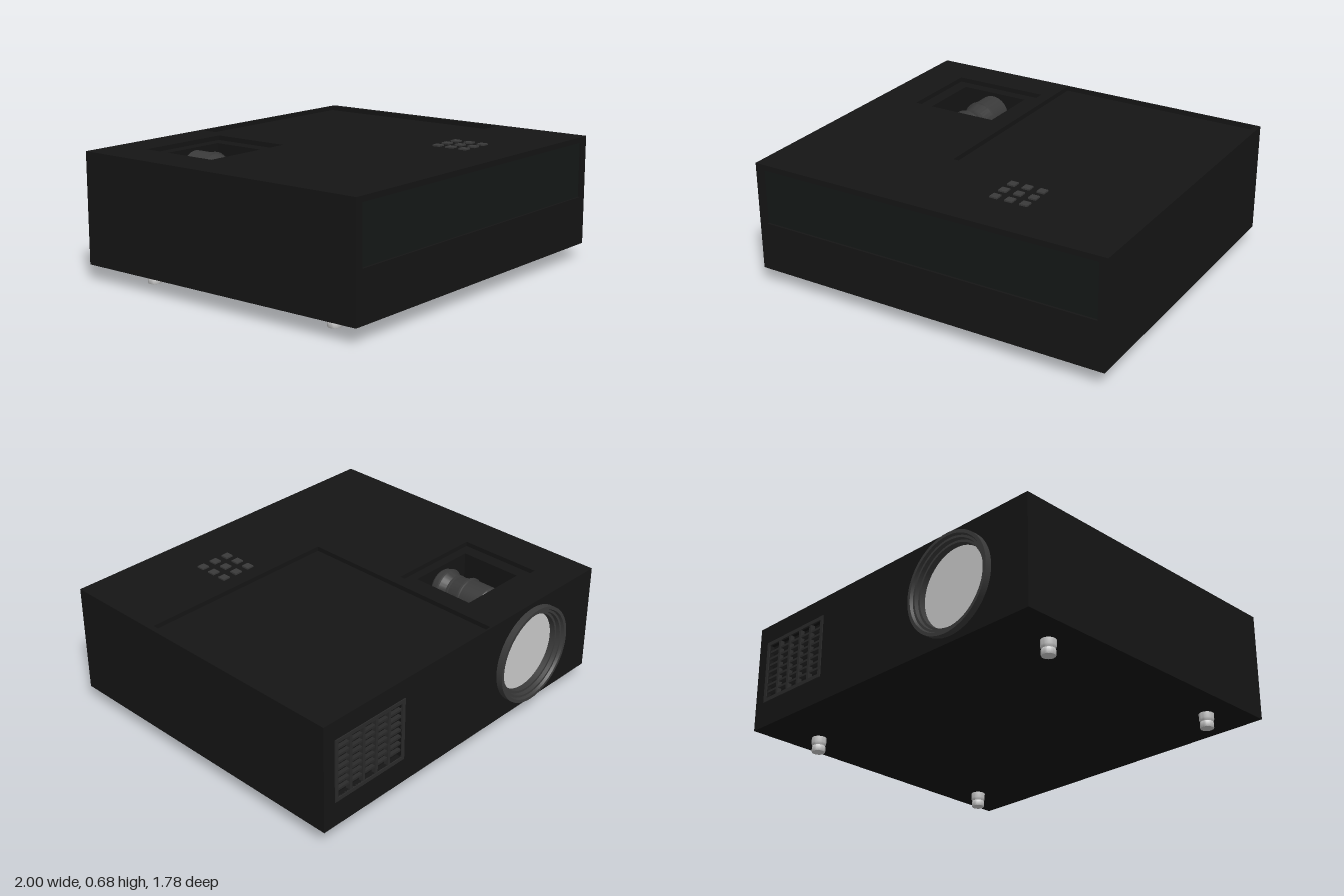
import * as THREE from 'three';
import { toCreasedNormals } from 'three/addons/utils/BufferGeometryUtils.js';

const mat = (color) => new THREE.MeshStandardMaterial({ color });
const BLACK = mat(0x151515), PANEL = mat(0x141817), DARK = mat(0x2a2a2a), TRIM = mat(0x3a3a3a), GREY = mat(0xcccccc);

function add(parent, name, geometry, material, x = 0, y = 0, z = 0) {
  const mesh = new THREE.Mesh(geometry, material);
  mesh.name = name;
  mesh.position.set(x, y, z);
  parent.add(mesh);
  return mesh;
}

// Box given by its minimum and maximum corners
function block(parent, name, material, [x0, y0, z0], [x1, y1, z1]) {
  return add(parent, name, new THREE.BoxGeometry(x1 - x0, y1 - y0, z1 - z0), material,
    (x0 + x1) / 2, (y0 + y1) / 2, (z0 + z1) / 2);
}

function rect(PathType, x0, y0, x1, y1) {
  const p = new PathType();
  p.moveTo(x0, y0);
  p.lineTo(x1, y0);
  p.lineTo(x1, y1);
  p.lineTo(x0, y1);
  p.closePath();
  return p;
}

// Plate with holes, outlined in x and y, thickness along z
function plate(outline, holes, depth) {
  const shape = rect(THREE.Shape, ...outline);
  shape.holes.push(...holes);
  return new THREE.ExtrudeGeometry(shape, { depth, bevelEnabled: false, curveSegments: 32 });
}
const hole = (...r) => rect(THREE.Path, ...r);

function turned(points, segments = 64) {
  const geometry = new THREE.LatheGeometry(points.map(([r, y]) => new THREE.Vector2(r, y)), segments);
  return toCreasedNormals(geometry, 0.5);
}

export function createModel() {
  const model = new THREE.Group();
  model.name = 'projector';

  // Case: top plate with sunken cover and lens window, walls and base
  const body = new THREE.Group();
  body.name = 'case';
  model.add(body);
  const top = plate([-1, -0.89, 1, 0.86],
    [hole(-0.17, -0.34, 0.97, 0.85), hole(-0.77, 0.2, -0.235, 0.66)], 0.025);
  add(body, 'topPlate', top.rotateX(-Math.PI / 2), BLACK, 0, 0.65, 0);
  block(body, 'sunkenCover', BLACK, [-0.18, 0.62, -0.855], [0.98, 0.65, 0.35]);
  block(body, 'base', BLACK, [-1, 0.08, -0.83], [1, 0.11, 0.86]);
  for (const s of [-1, 1]) {
    add(body, s > 0 ? 'leftWall' : 'rightWall', new THREE.BoxGeometry(0.03, 0.54, 1.69), BLACK, s * 0.985, 0.38, 0.015);
  }
  add(body, 'frontWall', plate([-1, 0.08, 1, 0.65], [hole(-0.955, 0.345, 0.955, 0.645)], 0.03), BLACK, 0, 0, 0.86);
  block(body, 'frontPanel', PANEL, [-0.96, 0.34, 0.845], [0.96, 0.648, 0.878]);
  const lensHole = new THREE.Path();
  lensHole.absarc(-0.5, 0.38, 0.25, 0, Math.PI * 2, true);
  add(body, 'backWall', plate([-1, 0.08, 1, 0.65], [lensHole, hole(0.48, 0.24, 0.91, 0.55)], 0.03), BLACK, 0, 0, -0.86);

  // Stepped window in the top with the lens barrel inside
  const lensWindow = new THREE.Group();
  lensWindow.name = 'lensWindow';
  model.add(lensWindow);
  const well = plate([-0.78, 0.19, -0.225, 0.67], [hole(-0.7, 0.25, -0.31, 0.6)], 0.2);
  add(lensWindow, 'windowStep', well.rotateX(-Math.PI / 2), BLACK, 0, 0.45, 0);
  block(lensWindow, 'windowFloor', BLACK, [-0.72, 0.42, -0.62], [-0.29, 0.452, -0.23]);
  const barrel = turned([
    [0, 0.26], [0.085, 0.26], [0.092, 0.27], [0.094, 0.295], [0.101, 0.298], [0.101, 0.306], [0.094, 0.31],
    [0.078, 0.35], [0.086, 0.353], [0.086, 0.363], [0.08, 0.366], [0.094, 0.435], [0.102, 0.438], [0.102, 0.448],
    [0.096, 0.452], [0.096, 0.575], [0.085, 0.59], [0, 0.597],
  ]);
  add(lensWindow, 'lensBarrel', barrel.rotateX(-Math.PI / 2), TRIM, -0.5, 0.545, 0);

  // Projection lens on the back
  const lens = new THREE.Group();
  lens.name = 'projectionLens';
  lens.position.set(-0.5, 0.38, 0);
  model.add(lens);
  const ring = turned([
    [0.25, 0.82], [0.25, 0.858], [0.267, 0.858], [0.267, 0.895], [0.25, 0.895], [0.244, 0.88],
    [0.232, 0.88], [0.228, 0.86], [0.216, 0.86], [0.212, 0.82], [0.25, 0.82],
  ]);
  add(lens, 'lensRing', ring.rotateX(-Math.PI / 2), TRIM);
  add(lens, 'lensGlass', new THREE.CircleGeometry(0.216, 64).rotateY(Math.PI), GREY, 0, 0, -0.83);

  // Air vent: frame, backing and crossed bars
  const vent = new THREE.Group();
  vent.name = 'airVent';
  model.add(vent);
  add(vent, 'ventFrame', plate([0.46, 0.22, 0.93, 0.57], [hole(0.48, 0.24, 0.91, 0.55)], 0.01), DARK, 0, 0, -0.865);
  block(vent, 'ventBacking', BLACK, [0.46, 0.22, -0.835], [0.93, 0.57, -0.825]);
  for (let i = 1; i < 5; i++) {
    add(vent, 'ventPost', new THREE.BoxGeometry(0.016, 0.32, 0.025), DARK, 0.48 + i * 0.086, 0.395, -0.85);
  }
  for (let i = 1; i < 8; i++) {
    add(vent, 'ventSlat', new THREE.BoxGeometry(0.44, 0.012, 0.02), DARK, 0.695, 0.24 + i * 0.03875, -0.848);
  }

  // Keypad
  const keypad = new THREE.Group();
  keypad.name = 'keypad';
  model.add(keypad);
  for (const x of [0.245, 0.328, 0.411]) {
    for (const z of [0.447, 0.528, 0.609]) {
      add(keypad, 'button', new THREE.BoxGeometry(0.043, 0.03, 0.043), TRIM, x, 0.668, z);
    }
  }

  // Feet
  const foot = turned([
    [0, 0], [0.034, 0], [0.036, 0.004], [0.036, 0.028], [0.033, 0.034], [0.036, 0.04], [0.039, 0.05], [0.039, 0.085],
  ], 32);
  for (const x of [-0.835, 0.835]) {
    for (const z of [-0.555, 0.635]) add(model, 'foot', foot, GREY, x, 0, z);
  }
  return model;
}
